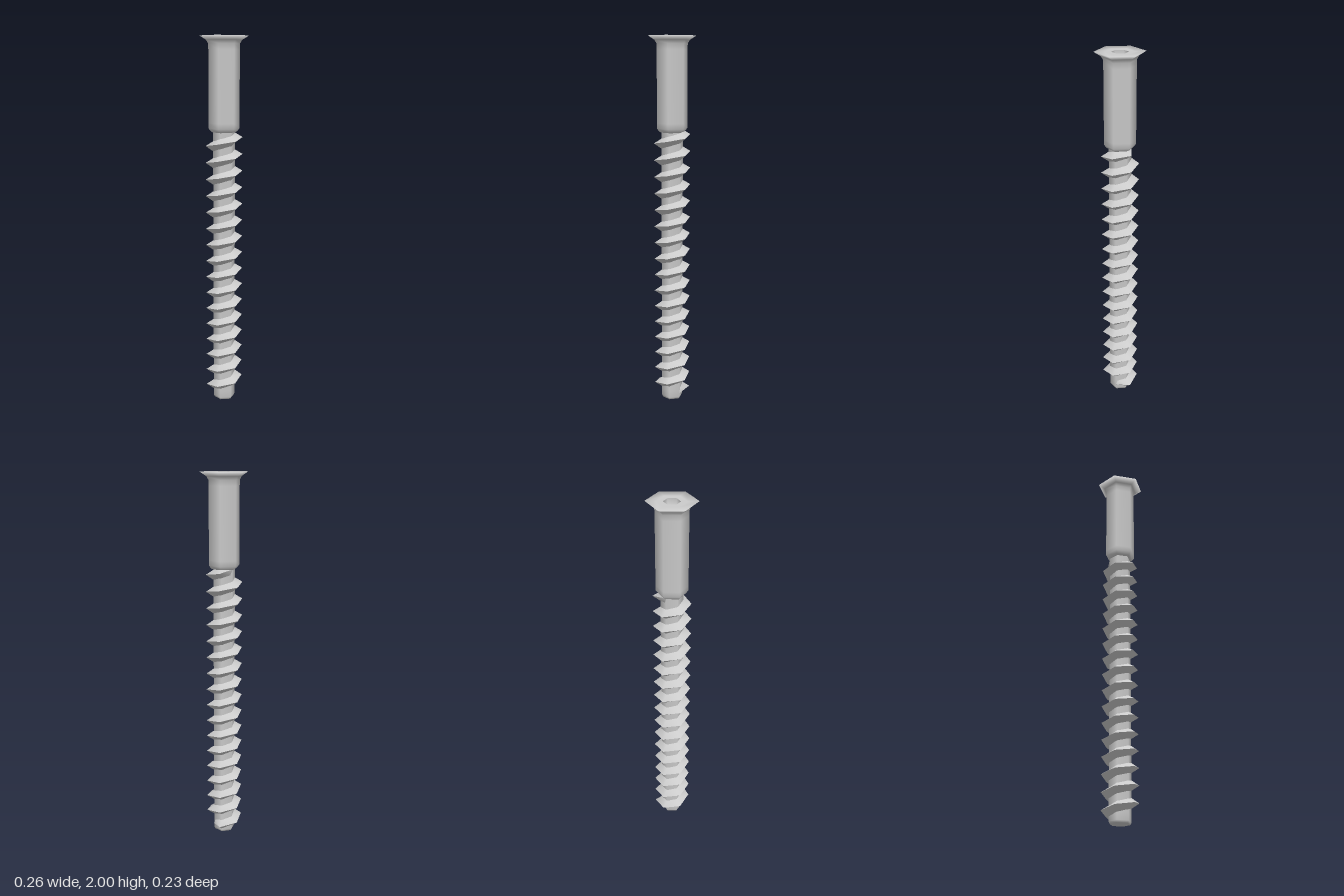
import * as THREE from 'three';

const SIDES = 6;
const TURN = THREE.MathUtils.degToRad(26.5); // rotation of the hexagonal section
const material = new THREE.MeshStandardMaterial({ color: 0xcccccc, side: THREE.DoubleSide });

function lathe(name, points) {
  const profile = points.map(([r, y]) => new THREE.Vector2(r, y));
  const mesh = new THREE.Mesh(new THREE.LatheGeometry(profile, SIDES, TURN, Math.PI * 2), material);
  mesh.name = name;
  return mesh;
}

// Sharp triangular ridge swept up a right-handed helix with six corners per turn
function threadGeometry() {
  const pitch = 0.09, steps = 98, startY = 0.034;
  const positions = [], index = [];
  for (let i = 0; i <= steps; i++) {
    const angle = TURN + Math.PI / 3 * (i + 1);
    const y = startY + pitch * i / SIDES;
    const end = i === 0 || i === steps;
    const crest = end ? 0.06 : 0.1;
    const section = [[0.054, y - 0.032], [crest, y], [0.054, y + 0.028]];
    for (const [r, h] of section) positions.push(r * Math.sin(angle), Math.max(h, 0.002), r * Math.cos(angle));
  }
  // Upper and lower flanks keep their own vertices so the crest stays sharp
  const flank = [];
  const corner = (i, k) => flank.push(...positions.slice((i * 3 + k) * 3, (i * 3 + k) * 3 + 3));
  for (const k of [0, 1]) {
    const base = flank.length / 3;
    for (let i = 0; i <= steps; i++) { corner(i, k); corner(i, k + 1); }
    for (let i = 0; i < steps; i++) {
      const a = base + i * 2;
      index.push(a, a + 2, a + 1, a + 1, a + 2, a + 3);
    }
  }
  const geometry = new THREE.BufferGeometry();
  geometry.setAttribute('position', new THREE.Float32BufferAttribute(flank, 3));
  geometry.setIndex(index);
  geometry.computeVertexNormals();
  return geometry;
}

export function createModel() {
  const group = new THREE.Group();
  group.name = 'screw';

  // Threaded core with a closed lower end
  group.add(lathe('core', [[0, 0], [0.053, 0], [0.059, 0.012], [0.059, 0.05], [0.059, 1.45], [0.059, 1.51]]));

  const thread = new THREE.Mesh(threadGeometry(), material);
  thread.name = 'thread';
  group.add(thread);

  // Plain shank flaring into the countersunk head
  group.add(lathe('shankAndHead', [
    [0.058, 1.5], [0.07, 1.505], [0.083, 1.522], [0.083, 1.55], [0.083, 1.93], [0.084, 1.96],
    [0.095, 1.978], [0.13, 2], [0.075, 1.998], [0.043, 1.998],
  ]));

  // Hexagonal drive recess
  group.add(lathe('socket', [[0.043, 1.998], [0.043, 1.95], [0, 1.94]]));
  return group;
}
